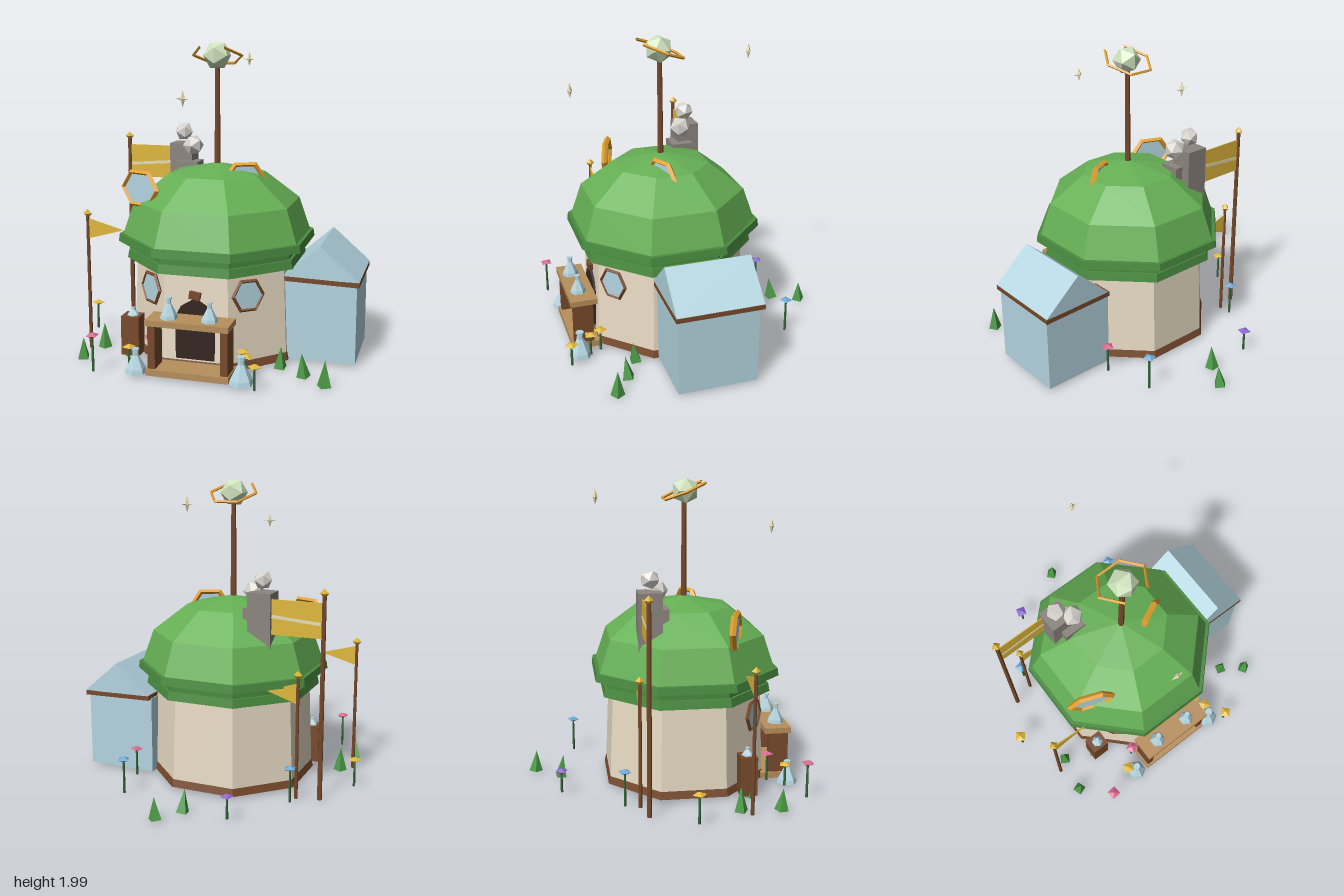
import * as THREE from 'three';

const CX = -0.02, CZ = 0.125;
const C = {
  leaf: 0x66b055, rim: 0x4a8c40, wall: 0xeaddc6, wood: 0x774a2b, plank: 0xb88f5c, dark: 0x33261f,
  gold: 0xe0b83c, orange: 0xe3a02f, glass: 0xb4d5e0, stone: 0x8c857f, smoke: 0xd6d2cc,
  orb: 0xcfe3bd, pale: 0xe6deb4, grass: 0x4d9c48, stem: 0x35663a, pink: 0xd8688f, blue: 0x6aa9d6, purple: 0x8d66cc,
};
const mats = {};
const mat = (c) => (mats[c] ??= new THREE.MeshStandardMaterial({ color: c, flatShading: true, side: THREE.DoubleSide }));

export function createModel() {
  const model = new THREE.Group();

  const add = (name, geo, color, x = 0, y = 0, z = 0, parent = model) => {
    const m = new THREE.Mesh(geo, mat(color));
    m.name = name;
    m.position.set(x, y, z);
    parent.add(m);
    return m;
  };
  const box = (name, color, x0, x1, y0, y1, z0, z1) =>
    add(name, new THREE.BoxGeometry(x1 - x0, y1 - y0, z1 - z0), color, (x0 + x1) / 2, (y0 + y1) / 2, (z0 + z1) / 2);
  const group = (name, x, y, z) => {
    const g = new THREE.Group();
    g.name = name;
    g.position.set(x, y, z);
    model.add(g);
    return g;
  };
  const shape = (pts) => new THREE.Shape(pts.map((p) => new THREE.Vector2(...p)));
  const extrude = (pts, depth) => new THREE.ExtrudeGeometry(shape(pts), { depth, bevelEnabled: false });

  // Octagonal tier, sized by the distance from centre to flat side
  const tier = (name, color, top, bottom, y0, y1) => {
    const k = 1 / Math.cos(Math.PI / 8);
    const g = new THREE.CylinderGeometry(top * k, bottom * k, y1 - y0, 8).rotateY(Math.PI / 8);
    add(name, g, color, CX, (y0 + y1) / 2, CZ);
  };
  tier('baseTrim', C.wood, 0.505, 0.52, 0.02, 0.08);
  tier('walls', C.wall, 0.485, 0.508, 0.07, 0.64);
  tier('lowerEave', C.rim, 0.535, 0.545, 0.62, 0.675);
  tier('eaveNeck', C.rim, 0.52, 0.52, 0.67, 0.74);
  tier('upperEave', C.rim, 0.59, 0.597, 0.73, 0.78);
  const dome = new THREE.SphereGeometry(1, 8, 3, 0, Math.PI * 2, 0, Math.PI / 2).rotateY(Math.PI / 8);
  dome.scale(0.625, 0.485, 0.625);
  add('domeRoof', dome, C.leaf, CX, 0.75, CZ);

  // Hexagonal windows, turned by an angle about the vertical
  const hexWindow = (name, color, x, y, z, r, tube, angle, squash) => {
    const g = group(name, x, y, z);
    g.rotation.y = angle;
    g.scale.y = squash;
    add('windowFrame', new THREE.TorusGeometry(r, tube, 4, 6), color, 0, 0, 0, g);
    add('windowGlass', new THREE.CircleGeometry(r, 6), C.glass, 0, 0, 0.004, g);
  };
  for (const s of [-1, 1])
    hexWindow('wallWindow', C.wood, CX + s * 0.312, 0.49, CZ + 0.42, 0.097, 0.013, s * 0.65, 1.06);
  hexWindow('leftRoofWindow', C.orange, -0.455, 1.085, 0.39, 0.14, 0.02, -0.36, 0.84);
  hexWindow('rightRoofWindow', C.orange, 0.175, 1.14, 0.18, 0.125, 0.02, 0.45, 0.86);

  // Doorway
  add('doorway', extrude([[-0.125, 0.08], [0.125, 0.08], [0.125, 0.35], [0.09, 0.415], [0, 0.47],
    [-0.09, 0.415], [-0.125, 0.35]], 0.04), C.dark, CX, 0, 0.595);
  const key = box('keystone', C.wood, -0.055, 0.015, 0.465, 0.51, 0.6, 0.645);
  key.rotation.z = -0.15;

  // Stall counter
  box('counterTop', C.plank, -0.28, 0.24, 0.333, 0.37, 0.64, 0.815);
  box('counterFoot', C.plank, -0.28, 0.24, 0.02, 0.06, 0.62, 0.815);
  for (const x of [-0.268, 0.188]) box('counterPost', C.wood, x, x + 0.046, 0.05, 0.335, 0.67, 0.8);

  // Flasks
  const flask = (x, y, z, r, h) => {
    const p = [[0, 0], [1, 0], [0.9, 0.18], [0.28, 0.72], [0.25, 0.93], [0.36, 0.94], [0.36, 1], [0, 1]];
    add('flask', new THREE.LatheGeometry(p.map(([a, b]) => new THREE.Vector2(a * r, b * h)), 6), C.glass, x, y, z);
  };
  flask(-0.15, 0.37, 0.74, 0.055, 0.13);
  flask(0.105, 0.37, 0.74, 0.052, 0.12);
  flask(-0.355, 0.02, 0.775, 0.068, 0.15);
  flask(0.31, 0.02, 0.78, 0.077, 0.17);
  box('crate', C.wood, -0.55, -0.43, 0.02, 0.275, 0.42, 0.53);
  flask(-0.485, 0.275, 0.475, 0.04, 0.05);

  // Side annex with a gable roof
  box('annexWalls', C.glass, 0.44, 0.92, 0.02, 0.54, -0.206, 0.307);
  const trim = box('annexEave', C.wood, 0.447, 0.935, 0.528, 0.558, -0.234, 0.326);
  trim.rotation.z = -0.025;
  add('annexRoof', extrude([[0.447, 0.555], [0.935, 0.555], [0.69, 0.77]], 0.556), C.glass, 0, 0, -0.232);

  // Chimney and smoke
  box('chimney', C.stone, -0.41, -0.255, 0.95, 1.32, -0.21, -0.06);
  box('chimneyStep', C.stone, -0.35, -0.2, 0.95, 1.205, -0.15, -0.01);
  add('smokePuff', new THREE.IcosahedronGeometry(0.064), C.smoke, -0.33, 1.395, -0.13).rotation.y = 0.4;
  add('smokePuff', new THREE.IcosahedronGeometry(0.072), C.smoke, -0.25, 1.31, -0.078).rotation.y = 1.1;

  // Mast with orb and open tilted ring
  add('mast', new THREE.CylinderGeometry(0.016, 0.02, 0.65, 6), C.wood, CX, 1.525, 0.13);
  add('orb', new THREE.IcosahedronGeometry(0.092), C.orb, CX, 1.915, 0.135);
  const ring = new THREE.TorusGeometry(0.16, 0.01, 4, 5, Math.PI * 5 / 3).rotateZ(-Math.PI / 3).rotateX(Math.PI / 2 - 0.38);
  ring.rotateX(0);
  // the gap faces the front
  const ringMesh = add('orbRing', new THREE.TorusGeometry(0.16, 0.01, 4, 5, Math.PI * 5 / 3), C.orange, CX, 1.915, 0.125);
  ringMesh.rotation.set(-Math.PI / 2 - 0.38, 0, -Math.PI / 3);

  // Floating sparkles
  for (const [x, y, z] of [[-0.063, 1.685, 0.7], [0.045, 1.875, -0.44]]) {
    const g = group('sparkle', x, y, z);
    add('sparkleTall', new THREE.OctahedronGeometry(1).scale(0.016, 0.05, 0.016), C.pale, 0, 0, 0, g);
    add('sparkleWide', new THREE.OctahedronGeometry(1).scale(0.042, 0.009, 0.012), C.pale, 0, 0, 0, g);
  }

  // Flag poles, banner and pennants
  const pole = (x, z, h, r) => {
    add('flagPole', new THREE.CylinderGeometry(r * 0.85, r, h, 6), C.wood, x, h / 2 + 0.01, z);
    add('poleTip', new THREE.OctahedronGeometry(0.03), C.gold, x, h + 0.015, z);
  };
  pole(-0.75, -0.185, 1.33, 0.016);
  pole(-0.8, 0.44, 0.9, 0.012);
  pole(-0.605, -0.225, 0.81, 0.012);
  box('banner', C.gold, -0.74, -0.38, 1.06, 1.285, -0.188, -0.182);
  const stripe = box('bannerStripe', C.pale, -0.735, -0.385, 1.155, 1.175, -0.191, -0.179);
  stripe.rotation.z = 0.08;
  const pennant = (x, y, z, w) =>
    add('pennant', extrude([[0, -0.065], [w, 0], [0, 0.065]], 0.006), C.gold, x, y, z - 0.003);
  pennant(-0.79, 0.818, 0.44, 0.235);
  pennant(-0.595, 0.705, -0.225, 0.2);

  // Flowers
  const flowers = [
    [-0.33, -0.705, 0.165, C.purple], [0.435, -0.605, 0.25, C.blue], [0.515, -0.29, 0.205, C.pink],
    [-0.595, -0.32, 0.245, C.blue], [-0.9, 0.095, 0.205, C.gold], [-0.61, 0.835, 0.25, C.pink],
    [0.41, 0.855, 0.165, C.gold], [0.325, 0.715, 0.165, C.gold], [0.285, 0.64, 0.165, C.gold],
    [-0.41, 0.745, 0.165, C.gold], [-0.305, 0.65, 0.205, C.pink],
  ];
  flowers.forEach(([x, z, h, color], i) => {
    add('flowerStem', new THREE.CylinderGeometry(0.007, 0.009, h - 0.02, 5), C.stem, x, h / 2 + 0.01, z);
    add('flowerHead', new THREE.OctahedronGeometry(0.045).scale(1, 0.42, 1), color, x, h, z).rotation.y = 0.5 + i * 0.7;
  });

  // Grass tufts
  const tufts = [[0.075, -0.87], [-0.035, -0.695], [-0.725, 0.385], [-0.765, 0.635],
    [0.635, 0.555], [0.785, 0.65], [0.48, 0.465], [-0.52, 0.485]];
  tufts.forEach(([x, z], i) => {
    const t = add('grassTuft', new THREE.ConeGeometry(0.045, 0.14 + (i % 3) * 0.012, 4), C.grass, x, 0.085, z);
    t.rotation.set(0.06, i * 0.9, i % 2 ? 0.08 : -0.08);
  });
  return model;
}
